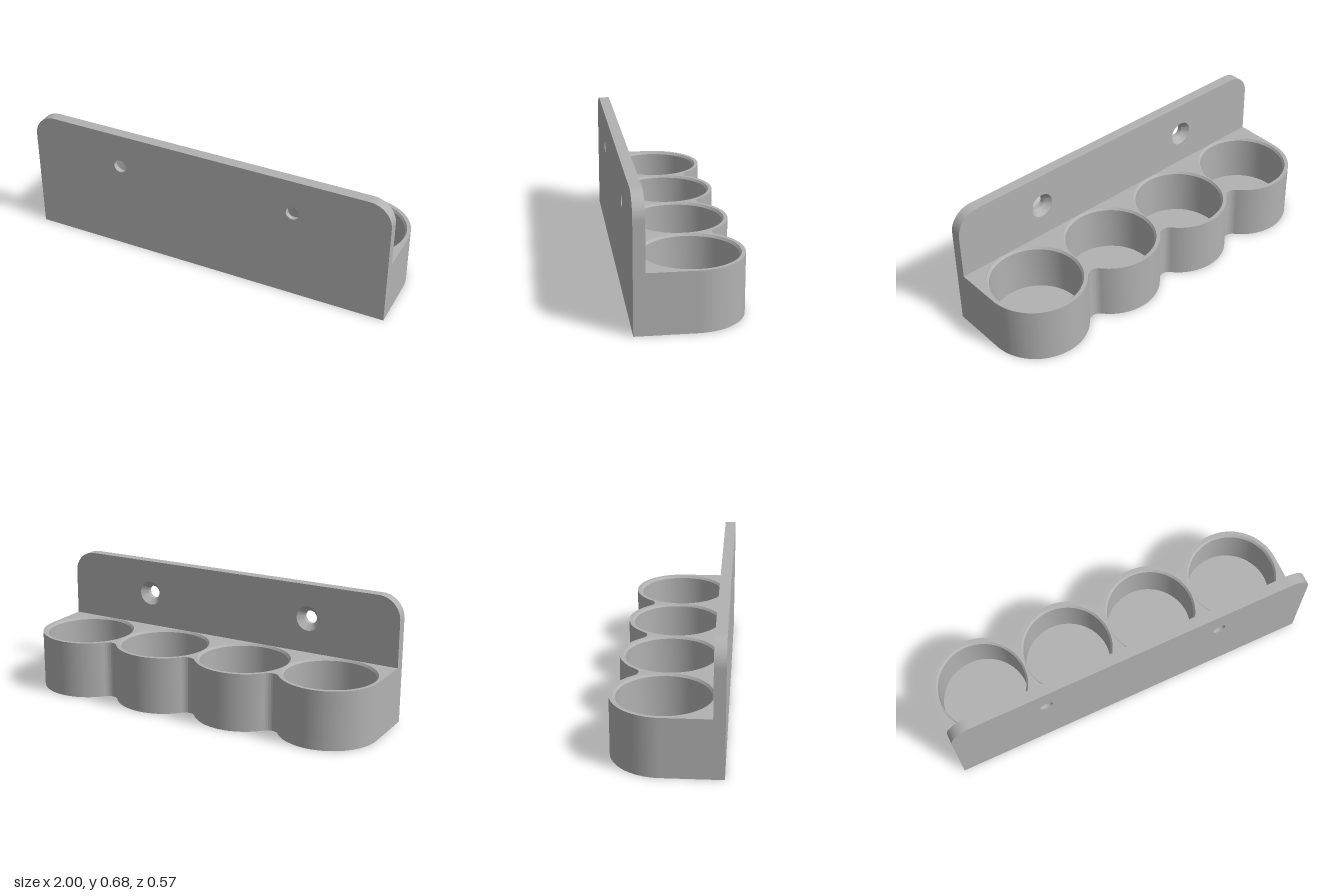
import * as THREE from 'three';
import { toCreasedNormals } from 'three/addons/utils/BufferGeometryUtils.js';

const R = 0.263, PITCH = 0.4913, CUP_Z = -0.02;      // cup outer radius, spacing, centre depth
const BORE = 0.233, RIM = 0.243;                     // cup bore and its chamfered mouth
const FLOOR = 0.05, TOP = 0.31;
const BACK = 0.283, FACE = 0.225, SEAT = 0.258;      // plate depths, and end of the countersink
const HOLE = 0.036, SINK = 0.066, HOLE_X = 0.49, HOLE_Y = 0.495;
const cupX = [0, 1, 2, 3].map((i) => 1 - R - i * PITCH);

function circle(x, y, r) {
  const p = new THREE.Path();
  p.absarc(x, y, r, 0, Math.PI * 2, true);
  return p;
}

function extrude(shape, depth) {
  return new THREE.ExtrudeGeometry(shape, { depth, bevelEnabled: false, curveSegments: 40 });
}

// Scalloped footprint, drawn with -z as the second axis
function footprint(holeRadius) {
  const fillet = 0.051;
  const h = Math.sqrt((R + fillet) ** 2 - (PITCH / 2) ** 2);
  const a = Math.atan2(h, PITCH / 2);
  const s = new THREE.Shape();
  s.moveTo(-1, -FACE);
  s.lineTo(1, -FACE);
  cupX.forEach((x, i) => {
    s.absarc(x, -CUP_Z, R, i === 0 ? 0 : a, i === 3 ? Math.PI : Math.PI - a, false);
    if (i < 3) s.absarc(x - PITCH / 2, -CUP_Z + h, fillet, -a, a - Math.PI, true);
  });
  s.closePath();
  if (holeRadius) cupX.forEach((x) => s.holes.push(circle(x, -CUP_Z, holeRadius)));
  return s;
}

// Back plate outline with rounded upper corners and two screw holes
function plateShape(holeRadius) {
  const r = 0.12, top = 0.68;
  const s = new THREE.Shape();
  s.moveTo(-1, 0);
  s.lineTo(1, 0);
  s.absarc(1 - r, top - r, r, 0, Math.PI / 2, false);
  s.absarc(-1 + r, top - r, r, Math.PI / 2, Math.PI, false);
  s.closePath();
  [-HOLE_X, HOLE_X].forEach((x) => s.holes.push(circle(x, HOLE_Y, holeRadius)));
  return s;
}

// Profiles run from top to bottom so the surface faces inward
function lining(points) {
  return new THREE.LatheGeometry(points.map((p) => new THREE.Vector2(...p)), 80);
}

export function createModel() {
  const group = new THREE.Group();
  const grey = new THREE.MeshStandardMaterial({ color: 0xb2b2b2 });
  grey.name = 'grey plastic';

  const add = (name, geometry, x = 0, y = 0, z = 0) => {
    const mesh = new THREE.Mesh(toCreasedNormals(geometry, 0.4), grey);
    mesh.name = name;
    mesh.position.set(x, y, z);
    group.add(mesh);
  };

  // Holder block: solid floor, then walls with four open cups
  add('cupFloor', extrude(footprint(0), FLOOR).rotateX(-Math.PI / 2));
  add('cupWalls', extrude(footprint(RIM), TOP - FLOOR).rotateX(-Math.PI / 2), 0, FLOOR, 0);
  cupX.forEach((x) => {
    add('cupLining', lining([[RIM, TOP], [BORE, TOP - 0.012], [BORE, FLOOR]]), x, 0, CUP_Z);
  });

  // Mounting plate in two layers, countersunk on the cup side
  add('plateCupSide', extrude(plateShape(SINK), SEAT - FACE), 0, 0, FACE);
  add('plateWallSide', extrude(plateShape(HOLE), BACK - SEAT), 0, 0, SEAT);
  [-HOLE_X, HOLE_X].forEach((x) => {
    add('countersink', lining([[HOLE, SEAT], [SINK, FACE]]).rotateX(Math.PI / 2), x, HOLE_Y, 0);
  });

  return group;
}
